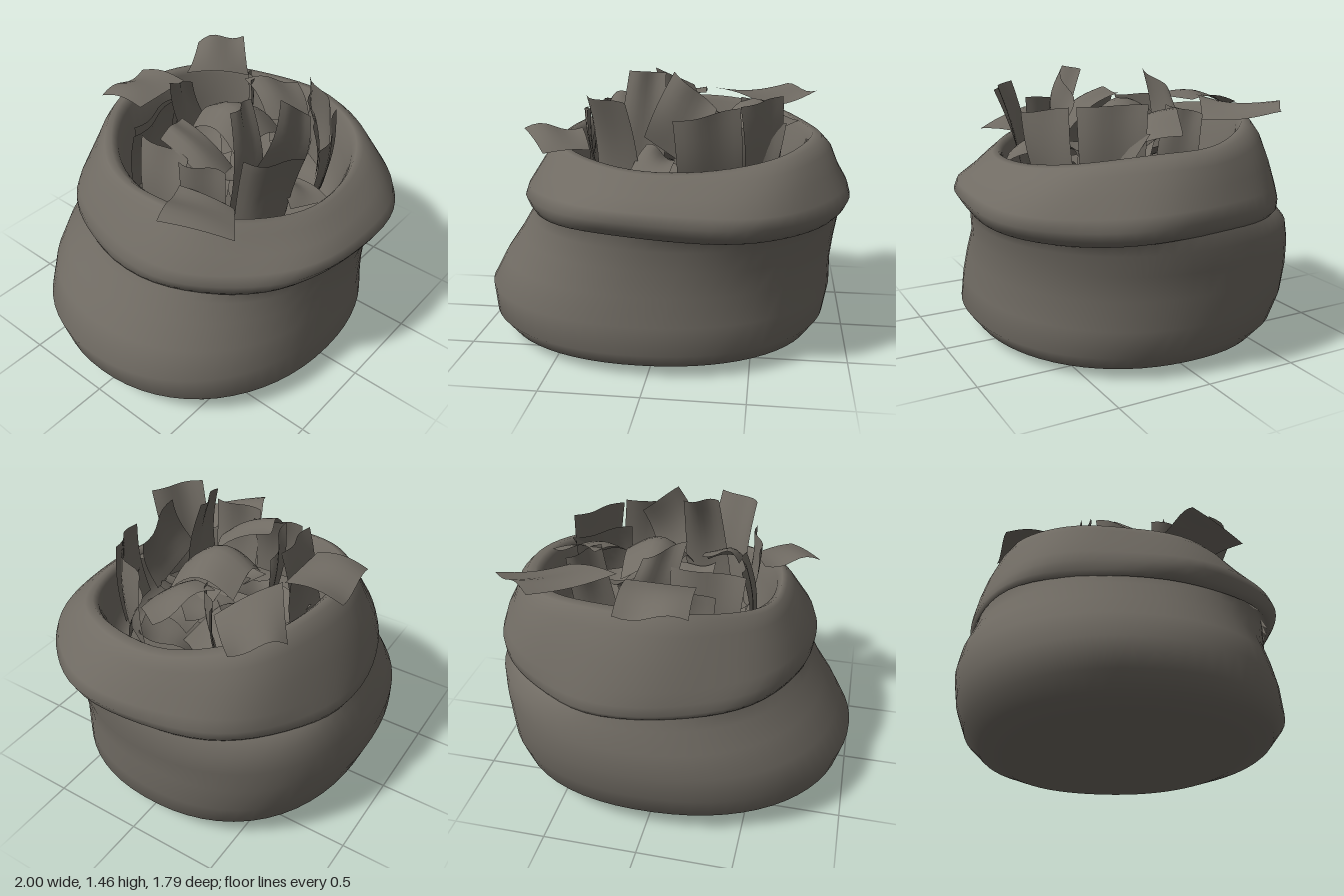
import * as THREE from 'three';

const cloth = new THREE.MeshStandardMaterial({ color: 0x706b63, side: THREE.DoubleSide });
cloth.name = 'dull taupe';

// Sack profile: y, xMin, xMax, zMin, zMax, share of the rim slope
const RINGS = [
  [0.00, 0, 0, 0, 0, 0],
  [0.00, -0.55, 0.55, -0.45, 0.45, 0],
  [0.01, -0.78, 0.74, -0.62, 0.64, 0],
  [0.05, -0.90, 0.82, -0.74, 0.77, 0],
  [0.13, -0.97, 0.88, -0.82, 0.83, 0],
  [0.27, -1.00, 0.91, -0.87, 0.81, 0],
  [0.42, -0.92, 0.91, -0.89, 0.80, 0],
  [0.55, -0.83, 0.925, -0.87, 0.79, 0],
  [0.66, -0.76, 0.94, -0.83, 0.81, 0],
  [0.74, -0.72, 0.94, -0.81, 0.82, 0],
  // folded cuff
  [0.72, -0.735, 0.95, -0.825, 0.845, 0],
  [0.75, -0.75, 0.98, -0.84, 0.87, 0],
  [0.80, -0.76, 1.00, -0.83, 0.90, 0],
  [0.86, -0.74, 0.98, -0.81, 0.88, 0.1],
  [0.95, -0.68, 0.93, -0.77, 0.81, 0.4],
  [1.04, -0.63, 0.89, -0.71, 0.74, 0.8],
  [1.09, -0.59, 0.84, -0.66, 0.69, 1],
  [1.10, -0.56, 0.79, -0.62, 0.66, 1],
  [1.07, -0.53, 0.76, -0.58, 0.64, 1],
  // inside wall narrowing to the floor
  [0.95, -0.50, 0.72, -0.54, 0.62, 0.7],
  [0.82, -0.47, 0.69, -0.50, 0.59, 0.3],
  [0.68, -0.43, 0.64, -0.45, 0.54, 0],
  [0.68, 0.1, 0.1, 0.03, 0.03, 0],
];

function sack() {
  const N = 64, pos = [], idx = [];
  const power = v => Math.sign(v) * Math.pow(Math.abs(v), 0.94);
  RINGS.forEach(([y, x0, x1, z0, z1, slope], i) => {
    for (let j = 0; j < N; j++) {
      const a = j / N * Math.PI * 2, c = power(Math.cos(a)), s = power(Math.sin(a));
      const cuff = i > 9 && i < 18 ? 1 : 0;
      // the body swells and the cuff tightens at the back corner
      const corner = Math.pow(Math.max(0, Math.cos(a + Math.PI / 4)), 5);
      const swell = i < 9 ? 0.055 : -0.025 * cuff;
      const ripple = 1 + cuff * 0.008 * Math.sin(a * 7 + i * 0.5) + swell * corner;
      const rise = s > 0 ? -0.085 * s * s : 0.12 * s * s;
      const lift = slope * (rise + 0.01 * c) + (i > 8 && i < 14 ? 0.015 * Math.sin(a * 3 + 2) : 0);
      pos.push((x0 + x1) / 2 + (x1 - x0) / 2 * c * ripple, y + lift,
        (z0 + z1) / 2 + (z1 - z0) / 2 * s * ripple);
      if (i < RINGS.length - 1) {
        const b = i * N + j, n = i * N + (j + 1) % N;
        idx.push(b, b + N, n, n, b + N, n + N);
      }
    }
  });
  const g = new THREE.BufferGeometry();
  g.setAttribute('position', new THREE.Float32BufferAttribute(pos, 3));
  g.setIndex(idx);
  g.computeVertexNormals();
  return g;
}

// Curved sheet between four corners (top pair, then bottom pair):
// bend arches it lengthwise, round crosswise, curl waves the top edge
function sheet([a, b, c, d], bend, round = 0, curl = 0.02) {
  const g = new THREE.PlaneGeometry(1, 1, 8, 8);
  const [A, B, C, D] = [a, b, c, d].map(p => new THREE.Vector3(...p));
  const normal = B.clone().sub(A).cross(A.clone().sub(D)).normalize();
  const p = g.attributes.position, top = new THREE.Vector3(), low = new THREE.Vector3();
  for (let i = 0; i < p.count; i++) {
    const u = p.getX(i) + 0.5, v = p.getY(i) + 0.5;
    top.lerpVectors(A, B, u);
    low.lerpVectors(D, C, u).lerp(top, v);
    low.addScaledVector(normal, bend * Math.sin(Math.PI * v) + round * Math.sin(Math.PI * u)
      + curl * Math.sin(Math.PI * 2 * u) * v);
    p.setXYZ(i, low.x, low.y, low.z);
  }
  g.computeVertexNormals();
  return g;
}

const SHEETS = {
  backRimSheet: [[[-0.20, 1.23, -0.68], [0.16, 1.23, -0.72], [0.18, 1.26, -0.41], [-0.18, 1.25, -0.40]], 0.03],
  backRimUnderSheet: [[[-0.27, 1.18, -0.36], [0.08, 1.20, -0.39], [0.1, 0.85, -0.43], [-0.25, 0.85, -0.42]], 0.02],
  cornerRimSheet: [[[0.60, 1.26, -0.67], [0.83, 1.27, -0.50], [0.54, 1.21, -0.23], [0.22, 1.29, -0.42]], -0.02, 0.02],
  sideRimSheet: [[[-0.74, 1.14, 0.25], [-0.45, 1.13, 0.13], [-0.35, 1.06, 0.40], [-0.55, 1.07, 0.57]], 0.01, 0.01],
  frontTallSheet: [[[-0.35, 1.36, 0.45], [-0.12, 1.34, 0.64], [-0.07, 0.85, 0.50], [-0.31, 0.85, 0.36]], -0.02, 0.03],
  frontWideSheet: [[[0.10, 1.25, 0.58], [0.42, 1.30, 0.46], [0.44, 0.85, 0.42], [0.12, 0.85, 0.50]], 0.02, 0.02],
  frontCornerSheet: [[[0.42, 1.30, 0.42], [0.63, 1.32, 0.14], [0.60, 0.85, 0.14], [0.44, 0.85, 0.40]], 0.02],
  frontLowSheet: [[[-0.05, 1.10, 0.40], [0.10, 1.03, 0.46], [0.09, 0.99, 0.67], [-0.11, 1.00, 0.57]], 0.02],
  peakSheet: [[[0.08, 1.46, 0.34], [0.30, 1.28, 0.38], [0.20, 0.95, 0.38], [-0.08, 1.12, 0.32]], 0.04],
  peakBackSheet: [[[-0.17, 1.45, 0.22], [0.02, 1.44, 0.20], [0.02, 0.90, 0.30], [-0.25, 0.90, 0.28]], 0.03],
  middleDomeSheet: [[[0.00, 1.12, -0.19], [0.28, 1.12, -0.17], [0.32, 1.08, 0.20], [-0.05, 1.08, 0.18]], 0.10, 0.09],
  middleSheet: [[[-0.34, 1.25, -0.10], [-0.15, 1.28, -0.12], [-0.12, 1.10, 0.20], [-0.34, 1.08, 0.24]], 0.03, 0.04],
  innerSideSheet: [[[-0.37, 1.25, -0.20], [-0.35, 1.22, 0.10], [-0.42, 0.85, 0.12], [-0.42, 0.85, -0.16]], 0.02],
  innerBackSheet: [[[-0.40, 1.24, -0.23], [-0.02, 1.28, -0.27], [-0.02, 0.85, -0.34], [-0.36, 0.85, -0.30]], -0.02],
  backPeakSheet: [[[-0.10, 1.42, -0.25], [0.12, 1.32, -0.29], [0.26, 1.00, -0.30], [0.00, 1.05, -0.26]], -0.02],
  leaningSheet: [[[0.42, 1.26, -0.16], [0.72, 1.17, 0.00], [0.52, 1.06, 0.24], [0.30, 1.15, 0.10]], 0.03, 0.02],
  leaningBackSheet: [[[0.40, 1.28, -0.10], [0.56, 1.24, -0.22], [0.50, 0.85, -0.24], [0.32, 0.85, -0.08]], 0.02],
  innerCornerSheet: [[[0.36, 1.18, 0.36], [0.65, 1.18, 0.14], [0.56, 0.85, 0.30], [0.36, 0.85, 0.40]], 0.02],
  sideStandingSheet: [[[-0.42, 1.24, 0.10], [-0.37, 1.26, 0.36], [-0.30, 0.85, 0.34], [-0.36, 0.85, 0.10]], 0.02],
};

export function createModel() {
  const group = new THREE.Group();
  const add = (name, geometry) => {
    const mesh = new THREE.Mesh(geometry, cloth);
    mesh.name = name;
    group.add(mesh);
  };
  add('sack', sack());
  for (const [name, shape] of Object.entries(SHEETS)) add(name, sheet(...shape));

  // Loose sheets filling the sack under the upper layer
  for (let i = 0; i < 10; i++) {
    const a = i * 2.4, r = 0.12 + 0.025 * i, x = 0.1 + r * Math.cos(a), z = 0.03 + r * Math.sin(a);
    const y = 1.0 - 0.015 * i, corners = [];
    for (let k = 0; k < 4; k++) {
      const t = a - k * Math.PI / 2;
      corners.push([x + 0.2 * Math.cos(t), y + 0.08 * Math.sin(k * 2 + i), z + 0.2 * Math.sin(t)]);
    }
    add('fillSheet' + (i + 1), sheet(corners, 0.03));
  }
  return group;
}
